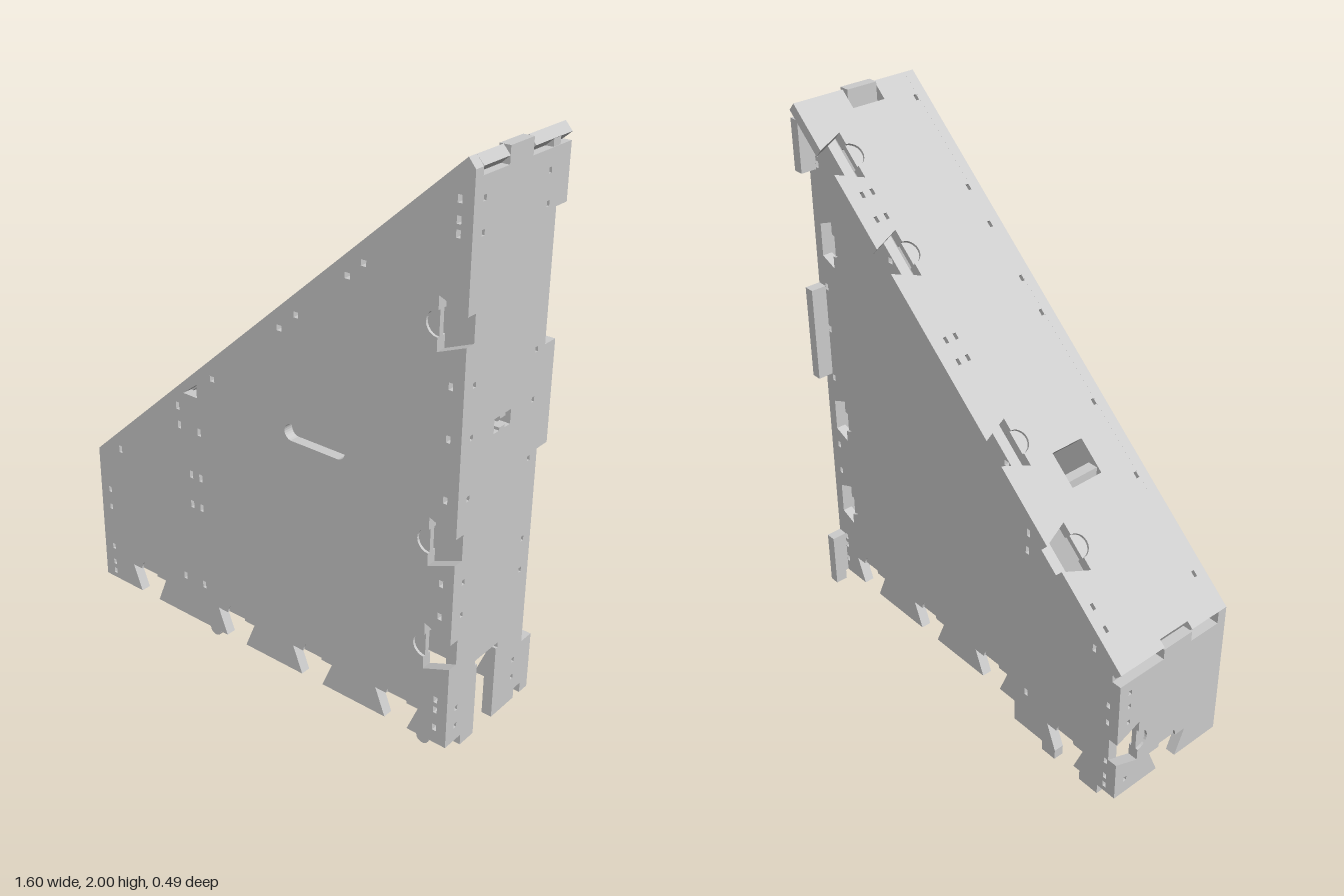
import * as THREE from 'three';

const T = 0.038; // sheet thickness
const mat = new THREE.MeshStandardMaterial({ color: 0xcccccc });
const V = (x, y, z) => new THREE.Vector3(x, y, z);
const topY = (x) => 0.59 + 0.895 * (x + 0.8); // sloping roof line
const underY = (x) => topY(x) - 0.051;

// Dovetail notch with a half-round relief, cut inward from point (x, y); d is the travel direction
function dovetail(x, y, d, depth = 0.1) {
  const [dx, dy] = d, at = (s, t) => [x + dx * s - dy * t, y + dy * s + dx * t];
  const arc = [];
  for (let i = 0; i <= 12; i++) {
    const a = Math.PI * (1 - i / 12);
    arc.push(at(0.042 * Math.cos(a), depth + 0.042 * Math.sin(a)));
  }
  return {
    arc,
    points: [at(-0.046, 0), at(-0.087, depth), ...arc, at(0.087, depth), at(0.046, 0)],
  };
}

const rect = (x, y, w = 0.015, h = 0.028) => [
  [x - w / 2, y - h / 2], [x + w / 2, y - h / 2], [x + w / 2, y + h / 2], [x - w / 2, y + h / 2]];

const toVecs = (pts) => pts.map((p) => new THREE.Vector2(p[0], p[1]));

// Flat sheet from an outline of points and dovetails, with holes
function sheet(name, outline, holes = []) {
  const group = new THREE.Group();
  group.name = name;
  const points = [], arcs = [];
  for (const item of outline) {
    if (item.points) {
      points.push(...item.points);
      arcs.push(item.arc);
    } else points.push(item);
  }
  const shape = new THREE.Shape(toVecs(points));
  shape.holes = holes.map((h) => new THREE.Path(toVecs(h)));
  const add = (s, depth, z, label) => {
    const mesh = new THREE.Mesh(
      new THREE.ExtrudeGeometry(s, { depth, bevelEnabled: false }), mat);
    mesh.position.z = z;
    mesh.name = label;
    group.add(mesh);
  };
  add(shape, T, 0, name + 'Panel');
  // recessed half discs behind the relief cuts
  for (const a of arcs) add(new THREE.Shape(toVecs(a)), T * 0.5, T * 0.25, 'reliefDisc');
  return group;
}

// Place a sheet by its in-plane axes and origin
function place(group, u, v, origin) {
  const m = new THREE.Matrix4().makeBasis(u, v, u.clone().cross(v)).setPosition(origin);
  group.applyMatrix4(m);
  return group;
}

export function createModel() {
  const model = new THREE.Group();
  const right = [1, 0], up = [0, 1];
  const X = V(1, 0, 0), Y = V(0, 1, 0), BACK = V(0, 0, -1);
  const bottomNotches = [-0.115, 0.24, 0.6];
  const sideNotches = [0.395, 0.78, 1.5];
  const edgeHoles = [0.1, 0.17, 0.21, 0.53, 0.65, 0.945, 1.15, 1.32, 1.78, 1.82, 1.88];

  // Holes shared by the front and back sheets
  const rimHoles = [
    ...edgeHoles.map((y) => rect(0.754, y, 0.015, 0.024)),
    ...[0.1, 0.17, 0.37, 0.43, -0.2].map((x) => rect(x, underY(x) - 0.022, 0.02, 0.02)),
  ];
  const shortHoles = [
    ...[0.07, 0.11, 0.18, 0.355, 0.43].map((y) => rect(-0.752, y, 0.014, 0.022)),
    ...[[-0.68, underY(-0.68) - 0.022], [-0.37, underY(-0.37) - 0.022], [-0.365, 0.83], [-0.365, 0.21]]
      .map(([x, y]) => rect(x, y)),
  ];

  // Front sheet with hand slot and two small round feet
  const slot = [];
  for (let i = 0; i < 24; i++) {
    const a = (i + 0.5) / 24 * Math.PI * 2;
    slot.push([0.245 + Math.sign(Math.cos(a)) * 0.095 + 0.03 * Math.cos(a), 0.97 + 0.03 * Math.sin(a)]);
  }
  const foot = (x) => Array.from({ length: 9 }, (_, i) => {
    const a = Math.PI * (1 + i / 8);
    return [x + 0.025 * Math.cos(a), 0.04 + 0.025 * Math.sin(a)];
  });
  const jointHoles = [0.53, 0.65].flatMap((y) => [rect(-0.315, y), rect(-0.27, y)])
    .concat([rect(-0.27, 0.21), rect(-0.27, 0.83)]);
  const front = sheet('frontPanel', [
    [-0.8, 0.04], dovetail(-0.56, 0.04, right), ...foot(-0.22),
    ...bottomNotches.map((x) => dovetail(x, 0.04, right)), ...foot(0.71),
    [0.8, 0.04], ...sideNotches.map((y) => dovetail(0.8, y, up)),
    [0.8, 1.97], [0.775, 2], [-0.8, 0.59],
  ], [slot, ...rimHoles, ...shortHoles, ...jointHoles,
    [[-0.34, 0.96], [-0.275, 0.96], [-0.275, 1.01]]]);
  model.add(place(front, X, Y, V(0, 0, 0.247 - T)));

  // Recessed long back sheet
  const back = sheet('backPanel', [
    [-0.305, 0.04], ...bottomNotches.map((x) => dovetail(x, 0.04, right)),
    [0.798, 0.04], ...sideNotches.map((y) => dovetail(0.798, y, up)),
    [0.798, underY(0.798)], [-0.305, underY(-0.305)],
  ], [...rimHoles, ...jointHoles.filter((h) => h[0][0] > -0.3)]);
  model.add(place(back, X, Y, V(0, 0, -0.188)));

  // Short back sheet at the low end
  const shortBack = sheet('shortBackPanel', [
    [-0.764, 0.04], [-0.72, 0.04], [-0.72, 0], [-0.635, 0], [-0.635, 0.04],
    dovetail(-0.56, 0.04, right), [-0.513, 0], [-0.45, 0], [-0.45, 0.04],
    [-0.305, 0.04], [-0.305, underY(-0.305)], [-0.764, underY(-0.764)],
  ], shortHoles);
  model.add(place(shortBack, X, Y, V(0, 0, -0.247)));

  // Tall end sheet with tabs, floor slot and a tie hole
  const tie = [[-0.075, 1.115], [-0.045, 1.115], [-0.045, 1.125], [-0.015, 1.125], [-0.015, 1.115],
    [0.015, 1.115], [0.015, 1.165], [-0.015, 1.165], [-0.015, 1.155], [-0.045, 1.155],
    [-0.045, 1.165], [-0.075, 1.165]];
  const tall = sheet('tallEndPanel', [
    [-0.209, 0.04], [-0.16, 0.04], [-0.16, 0], [-0.085, 0], [-0.085, 0.28], [-0.097, 0.28],
    [-0.097, 0.3], [0.035, 0.3], [0.035, 0.28], [0.025, 0.28], [0.025, 0], [0.16, 0],
    [0.16, 0.04], [0.2, 0.04], [0.2, 0], [0.247, 0], [0.247, 0.22], [0.188, 0.22],
    [0.188, 0.96], [0.247, 0.96], [0.247, 1.32], [0.188, 1.32], [0.188, 1.76],
    [0.247, 1.76], [0.247, 1.945], [0.04, 1.945], [0.04, 2], [-0.08, 2], [-0.08, 1.945],
    [-0.209, 1.945],
  ], [tie, ...edgeHoles.filter((y) => y !== 0.21 && y !== 1.82)
    .flatMap((y) => [rect(-0.195, y, 0.014, 0.018), rect(0.14, y, 0.014, 0.018)])]);
  model.add(place(tall, BACK, Y, V(0.8 - T, 0, 0)));

  // Low end sheet
  const low = sheet('lowEndPanel', [
    [-0.209, 0.04], dovetail(0, 0.04, right), [0.247, 0.04], dovetail(0.247, 0.24, up),
    [0.247, 0.54], [0.05, 0.54], [0.05, 0.58], [-0.08, 0.58], [-0.08, 0.54], [-0.209, 0.54],
  ], [0.1, 0.36, 0.43, 0.49].map((y) => rect(0.2, y, 0.014, 0.018)));
  model.add(place(low, BACK, Y, V(-0.8, 0, 0)));

  // Inner divider
  const divider = sheet('divider', [
    [-0.209, 0.04], [0.03, 0.04], [0.03, 0], [0.12, 0], [0.12, 0.04], [0.188, 0.04],
    [0.188, 0.22], [0.247, 0.22], [0.247, 0.95], [0.05, 0.95], [0.05, 0.99],
    [-0.08, 0.99], [-0.08, 0.95], [-0.209, 0.95],
  ], [0.35, 0.53, 0.65, 0.8].map((y) => rect(0.215, y)));
  model.add(place(divider, BACK, Y, V(-0.343, 0, 0)));

  // Sloping roof sheet; u runs up the slope, v toward the back
  const L = 2.114, uDir = V(0.7451, 0.6669, 0), n = V(-0.6669, 0.7451, 0);
  const uOf = (x) => (x + 0.8) / 0.7451;
  const roofHoles = [
    ...[-0.69, -0.41, -0.2, 0.06, 0.16, 0.32, 0.43, 0.7].map((x) => rect(uOf(x), -0.2, 0.022, 0.012)),
    ...[-0.69, -0.63].map((x) => rect(uOf(x), 0.21, 0.022, 0.012)),
    ...[0.03, 0.09, 0.43, 0.5].flatMap((x) => [0.15, 0.19].map((v) => rect(uOf(x), v, 0.022, 0.012))),
    [[0.585, -0.08], [0.715, -0.08], [0.715, 0.05], [0.585, 0.05]],
  ];
  const roof = sheet('slopingRoof', [
    [0, -0.209], [L, -0.209], [L, -0.08], [2.04, -0.08], [2.04, 0.05], [L, 0.05], [L, 0.247],
    ...[0.605, 0.325, -0.205, -0.49].map((x) => dovetail(uOf(x), 0.247, [-1, 0])),
    [0, 0.247], [0, 0.05], [0.03, 0.05], [0.03, -0.08], [0, -0.08],
  ], roofHoles);
  model.add(place(roof, uDir, BACK, V(-0.8, 0.59, 0).addScaledVector(n, -T)));

  return model;
}
